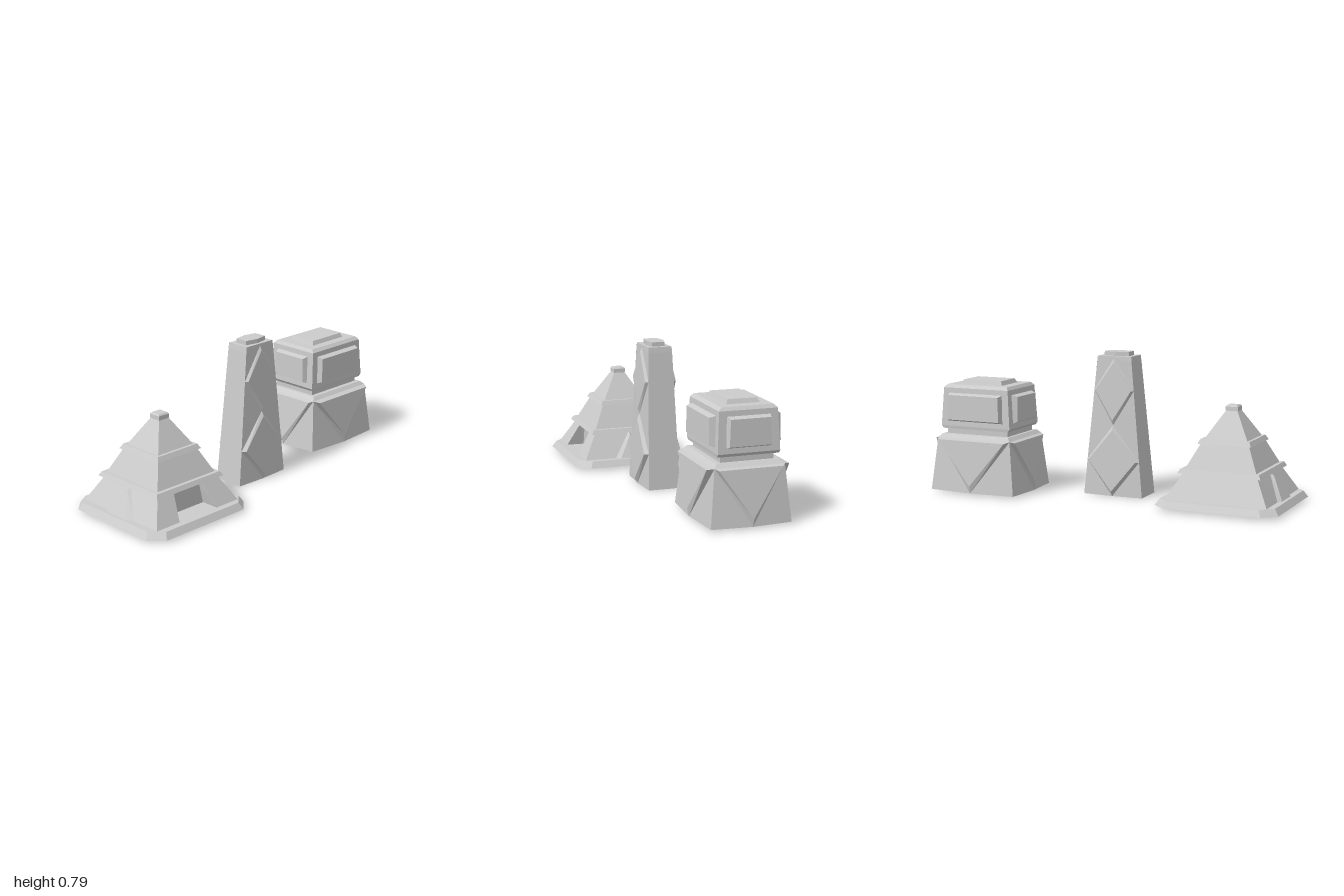
import * as THREE from 'three';

const material = new THREE.MeshStandardMaterial({ color: 0xcccccc, flatShading: true, side: THREE.DoubleSide });

// Flat-shaded mesh from convex polygons (fan triangulated)
function polyMesh(name, polys) {
  const pos = [];
  for (const p of polys) {
    for (let i = 1; i < p.length - 1; i++) pos.push(...p[0], ...p[i], ...p[i + 1]);
  }
  const geo = new THREE.BufferGeometry();
  geo.setAttribute('position', new THREE.Float32BufferAttribute(pos, 3));
  geo.computeVertexNormals();
  const mesh = new THREE.Mesh(geo, material);
  mesh.name = name;
  return mesh;
}

// Turns a polygon so that it faces +z, the outside of a facade
function outward(p) {
  const [a, b, c] = p.map((v) => new THREE.Vector3(...v));
  return b.sub(a).cross(c.sub(a)).z < 0 ? p.slice().reverse() : p;
}

// Facade modelled facing +z, then turned by quarter turns
function facade(name, polys, quarter) {
  const mesh = polyMesh(name, polys.map(outward));
  mesh.rotation.y = quarter * Math.PI / 2;
  return mesh;
}

// Strips joining two outlines, for bevels and recess jambs
const strips = (a, b) => a.map((p, i) => {
  const j = (i + 1) % a.length;
  return [p, a[j], b[j], b[i]];
});

// Mirrors points and polygons in x
const mirror = ([x, y, z]) => [-x, y, z];
const withMirror = (polys) => [...polys, ...polys.map((p) => p.map(mirror))];

// Plan ring: rectangle with optional cut corners
function rectRing([y, hx, hz, c = 0]) {
  if (!c) return [[hx, y, hz], [hx, y, -hz], [-hx, y, -hz], [-hx, y, hz]];
  return [[hx, y, hz - c], [hx, y, c - hz], [hx - c, y, -hz], [c - hx, y, -hz],
    [-hx, y, c - hz], [-hx, y, hz - c], [c - hx, y, hz], [hx - c, y, hz]];
}

// Stack of rings with closed top and optional bottom
function loft(name, rings, bottom = false) {
  const polys = [];
  for (let i = 0; i < rings.length - 1; i++) polys.push(...strips(rings[i], rings[i + 1]));
  polys.push(rings[rings.length - 1]);
  if (bottom) polys.push(rings[0].slice().reverse());
  return polyMesh(name, polys);
}
const tiers = (name, levels, bottom) => loft(name, levels.map(rectRing), bottom);

function steppedPyramid() {
  const g = new THREE.Group();
  g.name = 'steppedPyramid';
  // Plinth, hollow below
  g.add(tiers('plinth', [[0.015, 0.338, 0.338, 0.072], [0.05, 0.315, 0.315, 0.065]]));

  // Lower tier: four sloping walls with a doorway in front
  const y0 = 0.05, y1 = 0.187, h0 = 0.28, h1 = 0.2025;
  const c0 = [h0, y0, h0], c1 = [h1, y1, h1];
  const door = [[0.128, y0, h0], [0.097, y1, h1], [-0.097, y1, h1], [-0.128, y0, h0]];
  const doorBack = [[0.126, y0, 0.18], [0.1, 0.162, 0.18], [-0.1, 0.162, 0.18], [-0.126, y0, 0.18]];
  g.add(facade('frontWall', withMirror([[c0, c1, door[1], door[0]]]), 0));
  g.add(facade('frontDoorway', [doorBack, ...strips(door, doorBack).slice(0, 3)], 0));

  // Plain walls, with a raised triangular gable on both sides
  const wall = [c0, c1, mirror(c1), mirror(c0)];
  const gableFoot = [[0, y1, h1], [0.1, y0, h0], [-0.1, y0, h0]];
  const gableFace = [[0, 0.17, 0.227], [0.075, y0, 0.297], [-0.075, y0, 0.297]];
  g.add(facade('backWall', [wall], 2));
  for (const q of [1, 3]) {
    g.add(facade('sideWall', [wall], q));
    g.add(facade('sideGable', [gableFace, ...strips(gableFoot, gableFace)], q));
  }

  // Ledges, upper tiers and finial as one stepped skin
  const steps = [[0.185, 0.203], [0.185, 0.228], [0.208, 0.215], [0.208, 0.195], [0.335, 0.133], [0.335, 0.148],
    [0.36, 0.134], [0.36, 0.118], [0.502, 0.032], [0.502, 0.035], [0.524, 0.034], [0.532, 0.027]];
  g.add(tiers('upperTiers', steps.map(([y, h]) => [y, h, h])));
  g.position.set(-0.662, 0, 0.035);
  return g;
}

function diamondTower() {
  const g = new THREE.Group();
  g.name = 'diamondTower';
  const top = 0.735;
  const corner = (y) => [0.173 - 0.097 * y, y, 0.0885 - 0.029 * y];
  const mids = [[0, 0, 0.0965], [0, 0.39, 0.084], [0, 0.755, 0.069]];
  const edges = [corner(0.195), corner(0.58)];
  const plateZ = (y) => 0.1145 - 0.047 * y;

  for (const q of [0, 2]) {
    // Recessed triangles between the diamonds
    g.add(facade('facadeTriangles', withMirror([
      [corner(0), edges[0], mids[0]],
      [edges[0], edges[1], mids[1]],
      [edges[1], corner(top), [0.099, 0.765, 0.065], mids[2]],
    ]), q));
    // Raised diamond plates with bevelled edges
    edges.forEach((e, i) => {
      const outer = [mids[i], e, mids[i + 1], mirror(e)];
      const inner = outer.map(([x, y]) => {
        const py = e[1] + (y - e[1]) * 0.86;
        return [x * 0.9, py, plateZ(py)];
      });
      g.add(facade('diamondPlate', [inner, ...strips(outer, inner)], q));
    });
  }

  // Plain sides
  const a = corner(0), b = corner(top);
  const back = ([x, y, z]) => [x, y, -z];
  const side = [a, back(a), back(b), b];
  g.add(polyMesh('leftSide', [side]));
  g.add(polyMesh('rightSide', [side.map(mirror).reverse()]));

  // Roof and six-sided cap
  g.add(tiers('roof', [[top, b[0], b[2]], [0.765, 0.097, 0.065]]));
  const cap = (y, s) => [[0.072, 0.036], [0.072, -0.036], [0, -0.05], [-0.072, -0.036], [-0.072, 0.036], [0, 0.05]]
    .map(([x, z]) => [x * s, y, z * s]);
  g.add(loft('cap', [cap(0.763, 1), cap(0.788, 0.99)]));
  g.position.set(-0.001, 0, 0.034);
  return g;
}

function blockHouse() {
  const g = new THREE.Group();
  g.name = 'blockHouse';
  for (let q = 0; q < 4; q++) {
    // Lower facade: corner triangles and a raised triangular plate
    const [w0, w1, d0, d1, rise] = q % 2 ? [0.213, 0.185, 0.257, 0.225, 0.022] : [0.257, 0.225, 0.213, 0.185, 0.033];
    const low = [w0, 0.01, d0], high = [w1, 0.303, d1], tip = [0, 0.01, d0 + 0.018];
    g.add(facade('cornerTriangles', withMirror([[low, high, tip]]), q));
    const outer = [tip, high, mirror(high)];
    const inTop = [w1 * 0.91, 0.296, d1 + rise];
    const inner = [[0, 0.05, d0 + 0.028], inTop, mirror(inTop)];
    g.add(facade('trianglePlate', [inner, ...strips(outer, inner)], q));

    // Raised window panel on the upper block
    const [w, d, out] = q % 2 ? [0.12, 0.2, 0.233] : [0.17, 0.152, 0.188];
    const frame = (s, zLow, zHigh) => {
      const right = [[w - s, 0.395 + s, zLow], [w - s - 0.005, 0.551 - s, zHigh]];
      return [...right, mirror(right[1]), mirror(right[0])];
    };
    const base = frame(0, d + 0.011, d), face = frame(0.01, out + 0.002, out);
    g.add(facade('windowPanel', [face, ...strips(base, face)], q));
  }

  // Shoulder, neck, upper block and roof plate as one stepped skin
  g.add(tiers('upperBlock', [[0.303, 0.225, 0.185], [0.322, 0.205, 0.167], [0.322, 0.188, 0.141],
    [0.352, 0.188, 0.141], [0.352, 0.202, 0.162], [0.368, 0.214, 0.164], [0.578, 0.2, 0.154],
    [0.595, 0.187, 0.137], [0.595, 0.128, 0.088], [0.618, 0.117, 0.078]], true));
  g.position.set(0.717, 0, -0.135);
  return g;
}

export function createModel() {
  const model = new THREE.Group();
  model.name = 'threeBuildings';
  model.add(steppedPyramid(), diamondTower(), blockHouse());
  return model;
}
